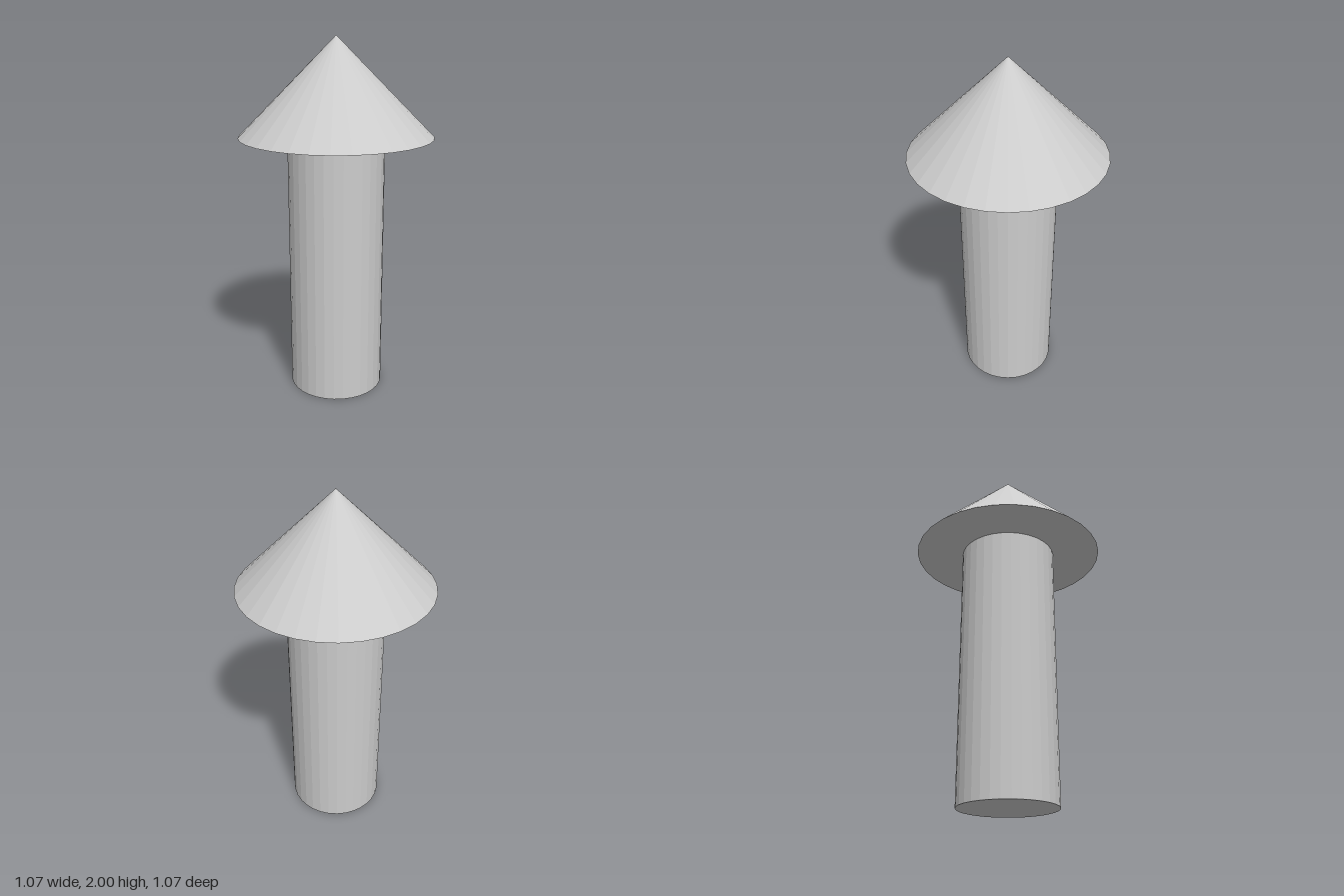
import * as THREE from 'three';

const SIDES = 32;
const SHAFT_RADIUS = 0.267;
const SHAFT_HEIGHT = 1.467;
const HEAD_RADIUS = 0.533;
const HEAD_HEIGHT = 0.533;

export function createModel() {
  const model = new THREE.Group();
  model.name = 'arrowPost';
  const material = new THREE.MeshStandardMaterial({ color: 0xcccccc, flatShading: true });

  const addPart = (name, geometry, y) => {
    const mesh = new THREE.Mesh(geometry, material);
    mesh.name = name;
    mesh.position.y = y;
    model.add(mesh);
  };

  // Faceted round shaft standing on the ground
  addPart('shaft',
    new THREE.CylinderGeometry(SHAFT_RADIUS, SHAFT_RADIUS, SHAFT_HEIGHT, SIDES),
    SHAFT_HEIGHT / 2);

  // Wide cone with a closed underside on top of the shaft
  addPart('coneHead',
    new THREE.ConeGeometry(HEAD_RADIUS, HEAD_HEIGHT, SIDES),
    SHAFT_HEIGHT + HEAD_HEIGHT / 2);

  return model;
}
